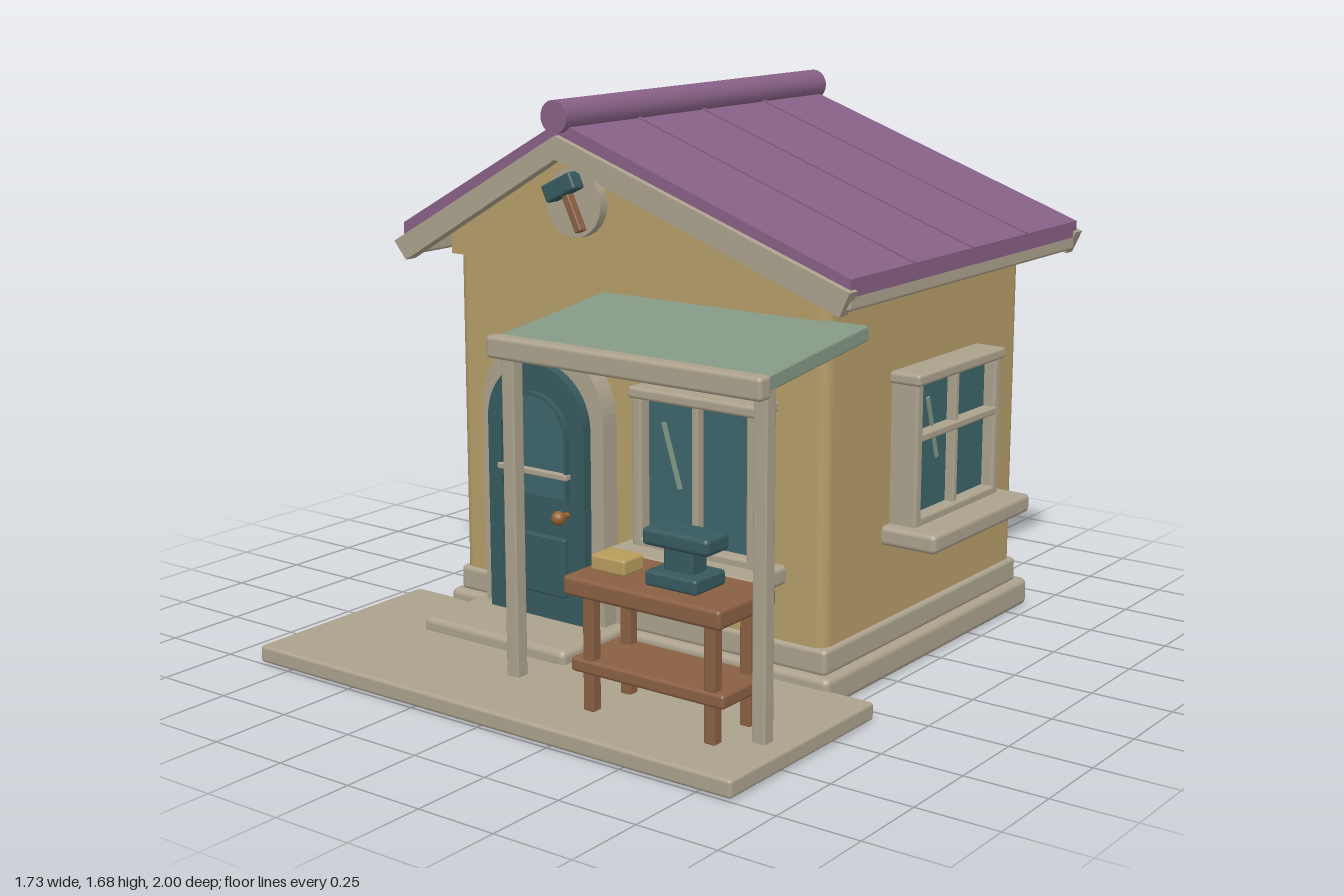
import * as THREE from 'three';
import { RoundedBoxGeometry } from 'three/addons/geometries/RoundedBoxGeometry.js';

const mat = (name, color) => {
  const m = new THREE.MeshStandardMaterial({ color });
  m.name = name;
  return m;
};

const M = {
  plaster: mat('ochre plaster', 0xb59d69),
  stone: mat('pale stone', 0xaca28d),
  roof: mat('purple roof', 0x876086),
  teal: mat('dark teal', 0x36595e),
  glass: mat('window glass', 0x3d656a),
  sage: mat('sage canvas', 0x839884),
  wood: mat('brown wood', 0x8a5f43),
  copper: mat('copper', 0x96602f),
  gold: mat('gold', 0xb89c5c),
};

const add = (parent, name, geo, material) => {
  const mesh = new THREE.Mesh(geo, material);
  mesh.name = name;
  parent.add(mesh);
  return mesh;
};

// Softly bevelled box between two corners
function box(parent, name, material, [x0, x1], [y0, y1], [z0, z1], r = 0.01) {
  const w = x1 - x0, h = y1 - y0, d = z1 - z0;
  const geo = new RoundedBoxGeometry(w, h, d, 2, Math.min(r, w * 0.4, h * 0.4, d * 0.4));
  const mesh = add(parent, name, geo, material);
  mesh.position.set((x0 + x1) / 2, (y0 + y1) / 2, (z0 + z1) / 2);
  return mesh;
}

// Flat outline pushed from z0 to z1
function slab(parent, name, material, outline, z0, z1) {
  const shape = Array.isArray(outline)
    ? new THREE.Shape(outline.map(([x, y]) => new THREE.Vector2(x, y)))
    : outline;
  const geo = new THREE.ExtrudeGeometry(shape, { depth: z1 - z0, bevelEnabled: false, curveSegments: 14 });
  geo.translate(0, 0, z0);
  return add(parent, name, geo, material);
}

// Round-headed outline
function arch(cx, half, y0, spring, Type = THREE.Shape) {
  const s = new Type();
  s.moveTo(cx - half, y0);
  s.lineTo(cx + half, y0);
  s.lineTo(cx + half, spring);
  s.absarc(cx, spring, half, 0, Math.PI, false);
  s.lineTo(cx - half, y0);
  return s;
}

// Window built facing +z with the wall at z = 0
function makeWindow(name, w, h, crossbar) {
  const g = new THREE.Group();
  g.name = name;
  const a = w / 2, b = h / 2, t = 0.035;
  box(g, 'glass', M.glass, [-a + 0.01, a - 0.01], [-b, b - 0.01], [-0.02, 0.055], 0.004);
  for (const s of [-1, 1]) {
    const x = s * (a - t / 2);
    box(g, 'sideFrame', M.stone, [x - t / 2, x + t / 2], [-b, b], [-0.01, 0.095]);
  }
  box(g, 'topFrame', M.stone, [-a - 0.008, a + 0.008], [b - t, b], [-0.01, 0.105]);
  box(g, 'bottomFrame', M.stone, [-a, a], [-b - 0.01, -b + 0.025], [-0.01, 0.095]);
  box(g, 'mullion', M.stone, [-0.011, 0.011], [-b, b - 0.01], [0.04, 0.085], 0.006);
  if (crossbar) box(g, 'crossbar', M.stone, [-a + 0.01, a - 0.01], [0.022, 0.046], [0.04, 0.095], 0.006);
  box(g, 'sill', M.stone, [-a - 0.042, a + 0.042], [-b - 0.058, -b], [-0.01, 0.185], 0.015);
  const glint = add(g, 'glint', new THREE.BoxGeometry(0.014, 0.2, 0.008), M.sage);
  glint.position.set(-0.1, 0.04, 0.057);
  glint.rotation.z = 0.3;
  return g;
}

export function createModel() {
  const model = new THREE.Group();
  model.name = 'workshopCottage';
  const group = (name) => {
    const g = new THREE.Group();
    g.name = name;
    model.add(g);
    return g;
  };

  // Ground slabs
  box(model, 'paving', M.stone, [-0.865, 0.86], [0.005, 0.057], [0.31, 1]);
  box(model, 'foundation', M.stone, [-0.715, 0.715], [0, 0.09], [-0.865, 0.325], 0.02);
  box(model, 'plinth', M.stone, [-0.69, 0.69], [0.085, 0.165], [-0.825, 0.3], 0.015);
  box(model, 'doorStep', M.stone, [-0.575, -0.02], [0.04, 0.097], [0.28, 0.6], 0.02);

  // Walls and gables
  box(model, 'walls', M.plaster, [-0.68, 0.677], [0.1, 1.2], [-0.815, 0.29], 0.035);
  slab(model, 'gables', M.plaster,
    [[-0.7, 1.167], [0.682, 1.167], [0.682, 1.25], [-0.187, 1.55], [-0.7, 1.265]], -0.822, 0.297);

  // Roof with raised seams
  const roof = group('roof');
  const ax = -0.188;
  const slopes = (name, lift, t, z0, z1) => slab(roof, name, M.roof, [
    [-0.812, 1.265 + lift - t], [ax, 1.612 + lift - t], [0.812, 1.255 + lift - t],
    [0.812, 1.255 + lift], [ax, 1.612 + lift], [-0.812, 1.265 + lift],
  ], z0, z1);
  slopes('roofSlopes', 0, 0.05, -0.925, 0.39);
  for (const z of [-0.595, -0.264, 0.063]) slopes('roofSeam', 0.005, 0.02, z - 0.005, z + 0.005);
  const ridge = add(roof, 'ridgeRoll', new THREE.CylinderGeometry(0.049, 0.049, 1.36, 20), M.roof);
  ridge.rotation.x = Math.PI / 2;
  ridge.position.set(ax, 1.627, -0.267);

  // Bargeboards and eave boards
  for (const [z0, z1] of [[0.37, 0.412], [-0.945, -0.903]]) {
    slab(roof, 'bargeboard', M.stone, [
      [-0.787, 1.153], [ax, 1.504], [0.79, 1.153], [0.822, 1.222], [ax, 1.573], [-0.834, 1.208],
    ], z0, z1);
  }
  box(roof, 'rightEaveBoard', M.stone, [-0.81, -0.78], [1.165, 1.232], [-0.92, 0.39]);
  box(roof, 'leftEaveBoard', M.stone, [0.78, 0.81], [1.165, 1.232], [-0.92, 0.39]);

  // Hammer plaque on the front gable
  const plaque = group('hammerPlaque');
  plaque.position.set(ax, 1.37, 0.31);
  const disc = add(plaque, 'disc', new THREE.CylinderGeometry(0.104, 0.104, 0.04, 20), M.stone);
  disc.rotation.x = Math.PI / 2;
  const hammer = new THREE.Group();
  hammer.name = 'hammer';
  hammer.rotation.z = 0.45;
  hammer.position.set(-0.021, 0.045, 0.035);
  plaque.add(hammer);
  box(hammer, 'hammerHandle', M.wood, [-0.013, 0.013], [-0.14, 0.01], [-0.02, 0.012], 0.005);
  box(hammer, 'hammerHead', M.teal, [-0.06, 0.06], [-0.025, 0.03], [-0.025, 0.03], 0.008);

  // Arched doorway
  const door = group('door');
  const dx = -0.297;
  const surround = arch(dx, 0.235, 0.09, 0.722);
  surround.holes.push(arch(dx, 0.185, 0.091, 0.7, THREE.Path));
  slab(door, 'doorSurround', M.stone, surround, 0.28, 0.355);
  slab(door, 'doorLeaf', M.teal, arch(dx, 0.187, 0.095, 0.698), 0.28, 0.388);
  const trim = arch(dx, 0.133, 0.475, 0.668);
  trim.holes.push(arch(dx, 0.122, 0.487, 0.668, THREE.Path));
  slab(door, 'doorWindowFrame', M.teal, trim, 0.38, 0.405);
  slab(door, 'doorWindow', M.glass, arch(dx, 0.123, 0.486, 0.668), 0.38, 0.394);
  box(door, 'doorWindowBar', M.stone, [-0.432, -0.162], [0.546, 0.566], [0.38, 0.41], 0.005);
  box(door, 'lowerDoorPanel', M.teal, [-0.42, -0.174], [0.178, 0.362], [0.38, 0.405], 0.006);
  const knob = add(door, 'doorKnob', new THREE.SphereGeometry(0.022, 16, 12), M.copper);
  knob.position.set(-0.175, 0.437, 0.43);
  const stem = add(door, 'knobStem', new THREE.CylinderGeometry(0.01, 0.01, 0.05, 10), M.copper);
  stem.rotation.x = Math.PI / 2;
  stem.position.set(-0.175, 0.437, 0.4);

  // Windows
  const front = makeWindow('frontWindow', 0.44, 0.475, false);
  front.position.set(0.286, 0.628, 0.29);
  const side = makeWindow('sideWindow', 0.495, 0.455, true);
  side.position.set(0.67, 0.683, -0.303);
  side.rotation.y = Math.PI / 2;
  const back = makeWindow('backWindow', 0.505, 0.46, true);
  back.position.set(0, 0.688, -0.815);
  back.rotation.y = Math.PI;
  model.add(front, side, back);

  // Porch awning on two posts
  const awning = group('awning');
  for (const x of [-0.083, 0.773]) {
    box(awning, 'awningPost', M.stone, [x - 0.022, x + 0.022], [0.05, 1.03], [0.71, 0.754], 0.006);
  }
  box(awning, 'awningBeam', M.stone, [-0.122, 0.806], [0.995, 1.06], [0.748, 0.8], 0.012);
  const sheet = box(awning, 'awningSheet', M.sage, [-0.112, 0.795], [-0.022, 0.022], [-0.25, 0.25], 0.006);
  sheet.position.set(0.342, 1.06, 0.515);
  sheet.rotation.x = 0.115;

  // Workbench
  const bench = group('workbench');
  box(bench, 'benchTop', M.wood, [0.2, 0.727], [0.388, 0.444], [0.603, 0.866], 0.012);
  box(bench, 'benchShelf', M.wood, [0.205, 0.722], [0.163, 0.204], [0.625, 0.84]);
  for (const x of [0.263, 0.672]) {
    for (const z of [0.653, 0.817]) {
      box(bench, 'benchLeg', M.wood, [x - 0.018, x + 0.018], [0.055, 0.4], [z - 0.018, z + 0.018], 0.005);
    }
  }

  // Anvil and ingot on the bench
  const anvil = group('anvil');
  box(anvil, 'anvilBase', M.teal, [0.432, 0.605], [0.442, 0.486], [0.664, 0.802]);
  box(anvil, 'anvilNeck', M.teal, [0.47, 0.568], [0.475, 0.56], [0.697, 0.768]);
  box(anvil, 'anvilTop', M.teal, [0.41, 0.63], [0.548, 0.598], [0.68, 0.786], 0.014);
  box(model, 'ingot', M.gold, [0.23, 0.348], [0.442, 0.488], [0.69, 0.78], 0.008);

  return model;
}
